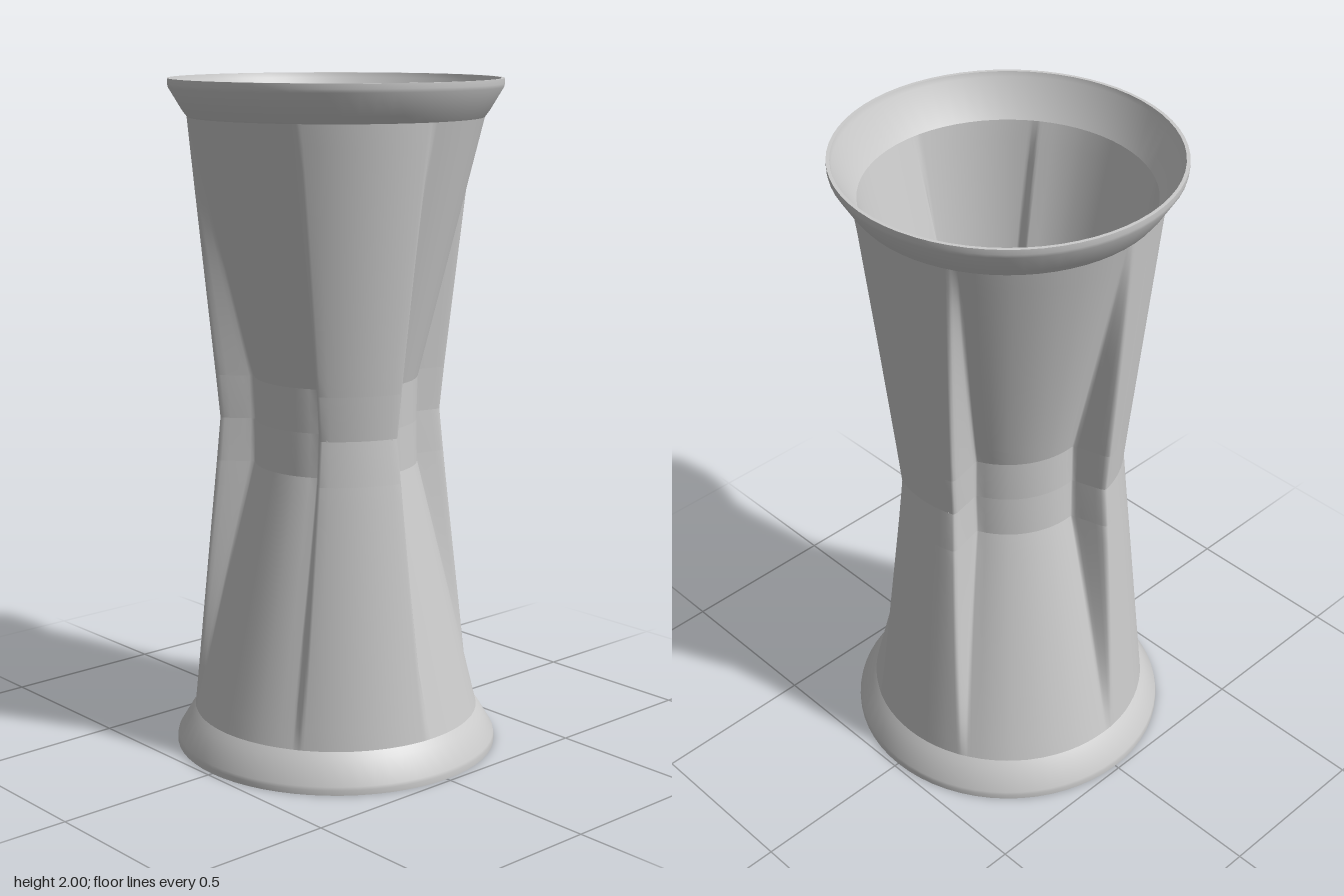
import * as THREE from 'three';
import { toCreasedNormals } from 'three/addons/utils/BufferGeometryUtils.js';

const lerp = THREE.MathUtils.lerp;
const material = new THREE.MeshStandardMaterial({ color: 0xcccccc });
const shellMaterial = new THREE.MeshStandardMaterial({ color: 0xcccccc, side: THREE.DoubleSide });

function named(name, geometry, mat = material) {
  const mesh = new THREE.Mesh(geometry, mat);
  mesh.name = name;
  return mesh;
}

// Half of one lobe, from its middle to the middle of the recess:
// each column is [angle in degrees for lobe half width w, blend recess 0 - lobe 1]
const halfColumns = [];
for (const f of [0, 0.2, 0.4, 0.6, 0.8]) halfColumns.push([w => f * (w - 3), 1]);
for (const [d, b] of [[-3, 1], [-1.9, 0.97], [-1.2, 0.87], [-0.7, 0.7], [0.7, 0.3], [1.2, 0.13], [1.9, 0.03], [3, 0]])
  halfColumns.push([w => w + d, b]);
for (const f of [0.15, 0.3, 0.45, 0.6, 0.8, 1]) halfColumns.push([w => lerp(w + 3, 60, f), 0]);
const columns = [
  ...halfColumns.slice(1).reverse().map(([a, b]) => [w => -a(w), b]),
  ...halfColumns.slice(0, -1),
];

// Three-lobed wall between two heights; ends are {y, w, lobe, recess}
function lobedWall(low, high, rows) {
  const positions = [], indices = [];
  const n = columns.length * 3;
  for (let j = 0; j <= rows; j++) {
    const t = j / rows;
    const w = lerp(low.w, high.w, t);
    const lobe = lerp(low.lobe, high.lobe, t);
    const recess = lerp(low.recess, high.recess, t);
    for (let k = 0; k < 3; k++) {
      for (const [angle, blend] of columns) {
        const a = THREE.MathUtils.degToRad(60 + 120 * k + angle(w));
        const r = lerp(recess, lobe, blend);
        positions.push(r * Math.sin(a), lerp(low.y, high.y, t), r * Math.cos(a));
      }
    }
  }
  for (let j = 0; j < rows; j++) {
    for (let i = 0; i < n; i++) {
      const a = j * n + i, b = j * n + (i + 1) % n;
      indices.push(a, b, a + n, b, b + n, a + n);
    }
  }
  const g = new THREE.BufferGeometry();
  g.setAttribute('position', new THREE.Float32BufferAttribute(positions, 3));
  g.setIndex(indices);
  g.computeVertexNormals();
  return g;
}

function lathe(points) {
  const g = new THREE.LatheGeometry(points.map(p => new THREE.Vector2(...p)), 64);
  return toCreasedNormals(g, 0.5);
}

// Floor of a lobe with a square socket
function ledgeGeometry() {
  const shape = new THREE.Shape();
  shape.moveTo(-0.088, 0.225);
  shape.lineTo(0.088, 0.225);
  shape.lineTo(0.095, 0.332);
  shape.quadraticCurveTo(0, 0.352, -0.095, 0.332);
  shape.closePath();
  const socket = new THREE.Path();
  socket.moveTo(0.01, 0.24);
  socket.lineTo(0.01, 0.332);
  socket.lineTo(0.082, 0.325);
  socket.lineTo(0.07, 0.24);
  socket.closePath();
  shape.holes.push(socket);
  const g = new THREE.ExtrudeGeometry(shape, { depth: 0.12, bevelEnabled: false });
  return g.rotateX(-Math.PI / 2).translate(0, 1.0, 0);
}

// Upper cup; the lower one is the same part turned over
function buildHalf() {
  const half = new THREE.Group();

  // outer wall: straight waist band, then flaring cone
  const waist = { y: 1.0, w: 21, lobe: 0.345, recess: 0.24 };
  const shoulder = { y: 1.13, w: 21.8, lobe: 0.357, recess: 0.243 };
  const top = { y: 1.89, w: 27, lobe: 0.431, recess: 0.43 };
  half.add(named('waistBand', lobedWall(waist, shoulder, 2), shellMaterial));
  half.add(named('outerWall', lobedWall(shoulder, top, 12), shellMaterial));

  // inner wall
  const innerLow = { y: 1.1, w: 17.5, lobe: 0.34, recess: 0.22 };
  const innerTop = { y: 1.88, w: 25.5, lobe: 0.411, recess: 0.41 };
  half.add(named('innerWall', lobedWall(innerLow, innerTop, 12), shellMaterial));

  // flared lip
  half.add(named('rim', lathe([
    [0.43, 1.89], [0.445, 1.91], [0.484, 1.975], [0.486, 1.985], [0.486, 2.0],
    [0.476, 2.0], [0.472, 1.985], [0.41, 1.88],
  ]), shellMaterial));

  // ring around the central opening
  half.add(named('centreRing', lathe([
    [0.17, 1.0], [0.235, 1.0], [0.235, 1.13], [0.218, 1.13], [0.215, 1.07],
    [0.208, 1.045], [0.195, 1.035], [0.17, 1.035], [0.17, 1.0],
  ]), shellMaterial));

  // lobe floors, each with a socket and a peg that fits the other cup
  const ledge = ledgeGeometry();
  const peg = new THREE.BoxGeometry(0.056, 0.08, 0.076).translate(-0.041, 0.96, -0.284);
  for (let k = 0; k < 3; k++) {
    const joint = new THREE.Group();
    joint.name = 'joint';
    joint.add(named('lobeFloor', ledge), named('peg', peg));
    joint.rotation.y = k * 2 * Math.PI / 3;
    half.add(joint);
  }
  return half;
}

export function createModel() {
  const model = new THREE.Group();
  model.name = 'doubleCup';
  const upper = buildHalf();
  upper.name = 'upperCup';
  const lower = buildHalf();
  lower.name = 'lowerCup';
  lower.rotation.z = Math.PI;
  lower.position.y = 2;
  model.add(upper, lower);
  return model;
}
